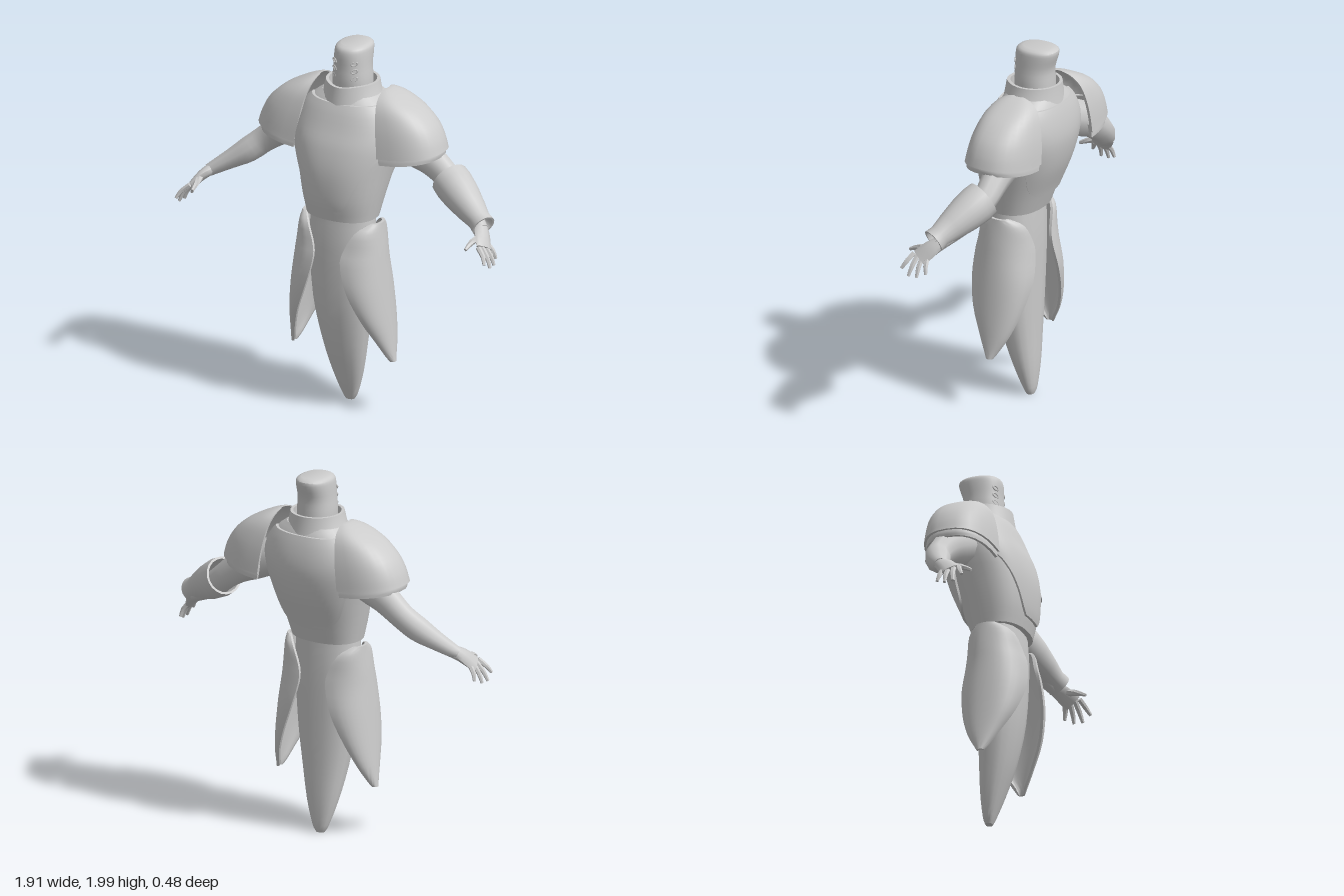
import * as THREE from 'three';
import { toCreasedNormals } from 'three/addons/utils/BufferGeometryUtils.js';

const material = new THREE.MeshStandardMaterial({ color: 0xcccccc });
const V = (x, y, z) => new THREE.Vector3(x, y, z);
const pow = (v, e) => Math.sign(v) * Math.abs(v) ** e;

// Smooth curve through rows of numbers; the parameter is the row index
function spline(rows) {
  const f = new THREE.CubicInterpolant(rows.map((_, i) => i), rows.flat(), rows[0].length);
  return u => Array.from(f.evaluate(u));
}
function sample(rows, per) {
  const f = spline(rows), n = (rows.length - 1) * per;
  return Array.from({ length: n + 1 }, (_, i) => f(i / per));
}

// Skin closed rings of points; ends are capped by zipping each ring, or joined when wrap is set
function loft(name, rings, { side = 1, wrap = false, crease = 0.6 } = {}) {
  const n = rings[0].length, m = rings.length, index = [];
  const pts = rings.flat().map(p => V(p.x * side, p.y, p.z));
  const quad = (a, b, c, d) => index.push(a, b, c, a, c, d);
  for (let j = 0; j < (wrap ? m : m - 1); j++) {
    const k = (j + 1) % m;
    for (let i = 0; i < n; i++) {
      const h = (i + 1) % n;
      quad(j * n + i, j * n + h, k * n + h, k * n + i);
    }
  }
  if (!wrap) for (let i = 0; i < n / 2 - 1; i++) {
    const o = (m - 1) * n;
    quad(i, n - 1 - i, n - 2 - i, i + 1);
    quad(o + i, o + i + 1, o + n - 2 - i, o + n - 1 - i);
  }
  // Turn the faces outward if the enclosed volume is negative
  let volume = 0;
  for (let i = 0; i < index.length; i += 3)
    volume += pts[index[i]].dot(pts[index[i + 1]].clone().cross(pts[index[i + 2]]));
  if (volume < 0) index.reverse();
  const g = new THREE.BufferGeometry().setFromPoints(pts);
  g.setIndex(index);
  const mesh = new THREE.Mesh(toCreasedNormals(g, crease), material);
  mesh.name = name;
  return mesh;
}

// Point on an upright body section [y, half width, front z, back z]; angle 0 is the front
function bodyPoint([y, w, zf, zb], a, off = 0, e = 0.85) {
  return V((w + off) * pow(Math.sin(a), e), y,
    (zf + zb) / 2 + ((zf - zb) / 2 + off) * pow(Math.cos(a), e));
}
const body = (name, rows, e, n = 28, per = 3) => loft(name, sample(rows, per).map(r =>
  Array.from({ length: n }, (_, i) => bodyPoint(r, (i + 0.5) / n * Math.PI * 2, 0, e))));

// Curved plate open toward the body, rows [y, inner x, outer x, front z, back z, edge drop]
function sidePlate(name, rows, side, e, thick, n = 16) {
  const rings = sample(rows, 3).map(([y, xi, xo, zf, zb, drop]) => {
    const w = xo - xi, d = (zf - zb) / 2;
    const arc = (w, d) => Array.from({ length: n + 1 }, (_, i) => {
      const a = (i / n - 0.5) * Math.PI, c = Math.max(0, Math.cos(a));
      return V(xi + w * pow(c, e), y - drop * (1 - c), (zf + zb) / 2 + d * pow(Math.sin(a), e));
    });
    return [...arc(w, d), ...arc(w - Math.min(thick, w * 0.6), d - Math.min(thick, d * 0.4)).reverse()];
  });
  return loft(name, rings, { side, crease: 0.7 });
}

// Limb along points [x, y, z, radius across z, radius across the limb]
function limb(name, rows, side, n = 10, per = 3) {
  const s = sample(rows, per);
  const rings = s.map((p, i) => {
    const q = s[Math.max(0, i - 1)], r = s[Math.min(s.length - 1, i + 1)];
    const t = V(r[0] - q[0], r[1] - q[1], r[2] - q[2]).normalize();
    const a = V(0, 0, 1).addScaledVector(t, -t.z).normalize(), b = t.clone().cross(a);
    return Array.from({ length: n }, (_, k) => {
      const w = k / n * Math.PI * 2;
      return V(p[0], p[1], p[2]).addScaledVector(a, p[3] * Math.cos(w)).addScaledVector(b, p[4] * Math.sin(w));
    });
  });
  return loft(name, rings, { side, crease: 0.8 });
}

const torsoRows = [[1.08, .195, .205, -.09], [1.2, .222, .228, -.135], [1.35, .255, .23, -.195],
  [1.48, .285, .205, -.225], [1.58, .285, .165, -.225], [1.68, .235, .125, -.205], [1.74, .16, .09, -.18]];
const headRows = [[1.68, .1, .05, -.15], [1.8, .104, .063, -.15], [1.88, .098, .06, -.15],
  [1.95, .095, .06, -.172], [1.985, .089, .05, -.176], [2.0, .065, .02, -.15]];

// Raised plate lying on the torso, rows [torso parameter, half angle]
function torsoPlate(name, rows, middle, n = 20) {
  const f = spline(torsoRows);
  return loft(name, sample(rows, 4).map(([u, half]) => {
    const arc = off => Array.from({ length: n + 1 }, (_, i) =>
      bodyPoint(f(u), middle + (i / n * 2 - 1) * half, off));
    return [...arc(.012), ...arc(-.01).reverse()];
  }));
}

function gorget() {
  // Outer bottom, outer top, inner top, inner bottom: [y, half width, front, back, dip at front]
  const rows = [[1.67, .19, .125, -.205, .05], [1.72, .16, .115, -.195, .02], [1.8, .142, .1, -.188, .008],
    [1.8, .126, .082, -.172, .008], [1.68, .13, .085, -.17, 0]];
  return loft('gorget', rows.map(r => Array.from({ length: 32 }, (_, i) => {
    const a = i / 32 * Math.PI * 2, p = bodyPoint(r, a, 0, 1), tip = Math.max(0, Math.cos(a)) ** 6;
    p.y -= r[4] * tip;
    p.z += .012 * tip;
    return p;
  })), { wrap: true, crease: 0.5 });
}

function hand(side) {
  const g = new THREE.Group();
  g.name = side > 0 ? 'leftHand' : 'rightHand';
  g.add(limb('palm', [[.815, 1.15, .025, .038, .034], [.85, 1.12, .065, .05, .027], [.89, 1.07, .112, .054, .017]], side, 10));
  const tips = [[.925, 1, .05], [.942, .98, .097], [.946, .98, .145], [.938, 1.012, .192]];
  tips.forEach(([x, y, z], i) => {
    const bz = .068 + .028 * i;
    g.add(limb('finger', [[.878, 1.085, bz, .015, .014], [(x + .9) / 2, (y + 1.085) / 2, (z + bz) / 2, .014, .012],
      [x, y, z, .009, .008]], side, 6, 2));
  });
  g.add(limb('thumb', [[.85, 1.12, .08, .02, .02], [.836, 1.105, .15, .016, .016], [.832, 1.08, .205, .009, .009]], side, 6, 2));
  return g;
}

// Hollow forearm guard with a flared cuff, worn on the left arm only
function vambrace() {
  const profile = [[.09, 0], [.102, 0], [.105, .05], [.098, .13], [.08, .23], [.062, .31], [.066, .355],
    [.056, .355], [.05, .31], [.07, .22], [.09, .06], [.09, 0]].map(p => new THREE.Vector2(...p));
  const mesh = new THREE.Mesh(toCreasedNormals(new THREE.LatheGeometry(profile, 20), 0.6), material);
  const start = V(.565, 1.335, -.08), end = V(.85, 1.165, .05);
  mesh.position.copy(start);
  mesh.quaternion.setFromUnitVectors(V(0, 1, 0), end.sub(start).normalize());
  mesh.name = 'vambrace';
  return mesh;
}

// Small raised oval openings on the face of the helmet
function vents() {
  const g = new THREE.Group();
  g.name = 'helmetVents';
  for (const s of [-1, 1]) for (const y of [1.83, 1.872, 1.914]) {
    const vent = new THREE.Mesh(new THREE.TorusGeometry(.013, .004, 6, 14), material);
    vent.position.copy(bodyPoint([y, .099, .06, -.152], s * .6, 0, .9));
    vent.rotation.set(0, s * .55, s * .35, 'YXZ');
    vent.scale.set(1.3, .8, 1);
    vent.name = 'vent';
    g.add(vent);
  }
  return g;
}

export function createModel() {
  const model = new THREE.Group();
  model.name = 'armouredFigure';
  model.add(
    body('helmet', headRows, .9), vents(), gorget(),
    body('torso', torsoRows, .85),
    torsoPlate('breastplate', [[.55, .3], [.9, .45], [1.7, .68], [2.5, .95], [3, 1.25], [4, 1.35], [5.4, 1.3]], 0),
    torsoPlate('backplate', [[.85, .22], [.95, .5], [1.3, .78], [2, .95], [3, 1.1], [4, 1.2], [5.3, 1.2]], Math.PI),
    // Long tapering skirt
    body('skirt', [[.008, .024, .003, -.035], [.05, .047, .02, -.046], [.18, .088, .068, -.055], [.36, .126, .125, -.057],
      [.6, .166, .17, -.06], [.9, .185, .185, -.065], [1.1, .18, .175, -.06]], .85, 16),
    vambrace());

  for (const s of [1, -1]) {
    const p = s > 0 ? 'left' : 'right';
    model.add(
      // Shoulder armour in two overlapping layers
      sidePlate(p + 'Pauldron', [[1.485, .25, .545, .14, -.24, .035], [1.55, .24, .525, .13, -.236, .02], [1.62, .228, .485, .115, -.226, .01],
        [1.69, .215, .41, .09, -.205, 0], [1.74, .205, .32, .055, -.175, 0], [1.768, .2, .255, .01, -.135, 0],
        [1.78, .198, .215, -.03, -.1, 0]], s, .8, .015),
      sidePlate(p + 'PauldronRim', [[1.45, .26, .527, .132, -.23, .035], [1.475, .255, .53, .13, -.23, .035],
        [1.52, .25, .515, .12, -.225, .03]], s, .8, .015),
      // Hip guard
      sidePlate(p + 'HipGuard', [[.298, .295, .316, .07, .03, 0], [.33, .278, .312, .09, .01, 0], [.42, .245, .303, .14, -.04, 0],
        [.55, .19, .29, .205, -.085, 0], [.7, .125, .275, .24, -.11, 0], [.84, .085, .26, .235, -.1, 0],
        [.92, .09, .252, .215, -.088, 0], [1.02, .14, .24, .18, -.065, 0], [1.065, .195, .235, .11, -.01, 0]], s, .9, .016),
      limb(p + 'Arm', [[.22, 1.52, -.06, .1, .1], [.36, 1.46, -.08, .09, .1], [.46, 1.405, -.088, .072, .085],
        [.56, 1.33, -.085, .066, .072], [.64, 1.265, -.055, .068, .07], [.73, 1.205, -.015, .055, .052],
        [.83, 1.14, .035, .037, .034]], s),
      hand(s));
  }
  return model;
}
